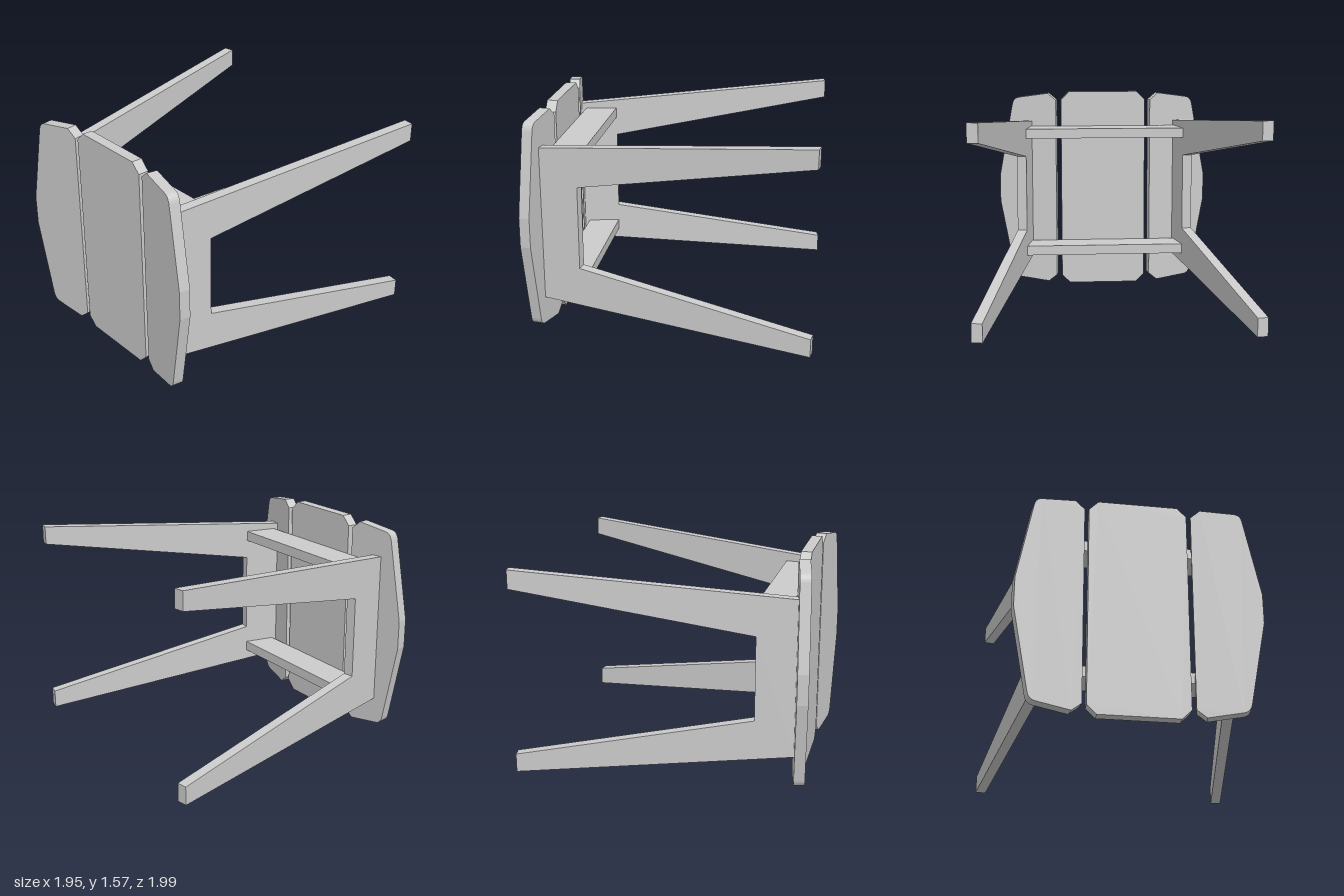
import * as THREE from 'three';

const TILT = THREE.MathUtils.degToRad(10);
const MID = 0.785; // height of the horizontal symmetry plane
const material = new THREE.MeshStandardMaterial({ color: 0xcccccc, flatShading: true });

// Flat board cut from an outline; z runs from z0 to z0 + depth
function board(name, shape, depth, z0 = 0) {
  const geometry = new THREE.ExtrudeGeometry(shape, { depth, bevelEnabled: false, curveSegments: 5 });
  geometry.translate(0, 0, z0);
  const mesh = new THREE.Mesh(geometry, material);
  mesh.name = name;
  return mesh;
}

const polygon = (points) => new THREE.Shape(points.map(([x, y]) => new THREE.Vector2(x, y)));

// Complete a lower half outline with its reflection about the middle height
const reflected = (half) => [...half, ...half.map(([x, y]) => [x, 2 * MID - y]).reverse()];

// Side plank: chamfered inside, softly rounded corner and a bowed outer edge
function sidePlankShape(side) {
  const corner = new THREE.QuadraticBezierCurve(
    new THREE.Vector2(0.297, 0.045), new THREE.Vector2(0.342, 0.05), new THREE.Vector2(0.353, 0.1));
  const half = [[0, 0.068], [0.067, 0.013],
    ...corner.getPoints(5).map((p) => [p.x, p.y]), [0.462, 0.68]];
  return polygon(reflected(half).map(([x, y]) => [side * x, y]));
}

// Leg frame: two tapered legs joined by an upright
function legShape(side) {
  const half = [[0.274, 0.49], [1.905, 0.2], [1.905, 0.07], [0, 0.235]];
  return polygon(reflected(half).map(([x, y]) => [side * x, y]));
}

export function createModel() {
  const model = new THREE.Group();
  model.name = 'stool';

  // Centre seat plank with chamfered corners
  const w = 0.337, c = 0.065;
  model.add(board('centreSeatPlank',
    polygon(reflected([[-w, c], [c - w, 0], [w - c, 0], [w, c]])), 0.075, 0.84));

  for (const side of [1, -1]) {
    const label = side > 0 ? 'left' : 'right';

    // Angled side seat plank
    const plank = board(label + 'SeatPlank', sidePlankShape(side), 0.076, -0.076);
    plank.position.set(side * 0.366, 0, 0.915);
    plank.rotation.y = -side * TILT;
    model.add(plank);

    // Splayed leg frame
    const leg = board(label + 'LegFrame', legShape(side), 0.075);
    leg.position.set(side * 0.571, 0, 0.877);
    leg.rotation.y = side * (Math.PI / 2 - TILT);
    model.add(leg);
  }

  // Cross rails between the leg frames
  const rail = polygon([[-0.618, 0.61], [0.618, 0.61], [0.577, 0.84], [-0.577, 0.84]]);
  [['lowerRail', 0.36], ['upperRail', 1.295]].forEach(([name, top]) => {
    const mesh = board(name, rail, 0.075);
    mesh.rotation.x = Math.PI / 2;
    mesh.position.y = top;
    model.add(mesh);
  });

  return model;
}
